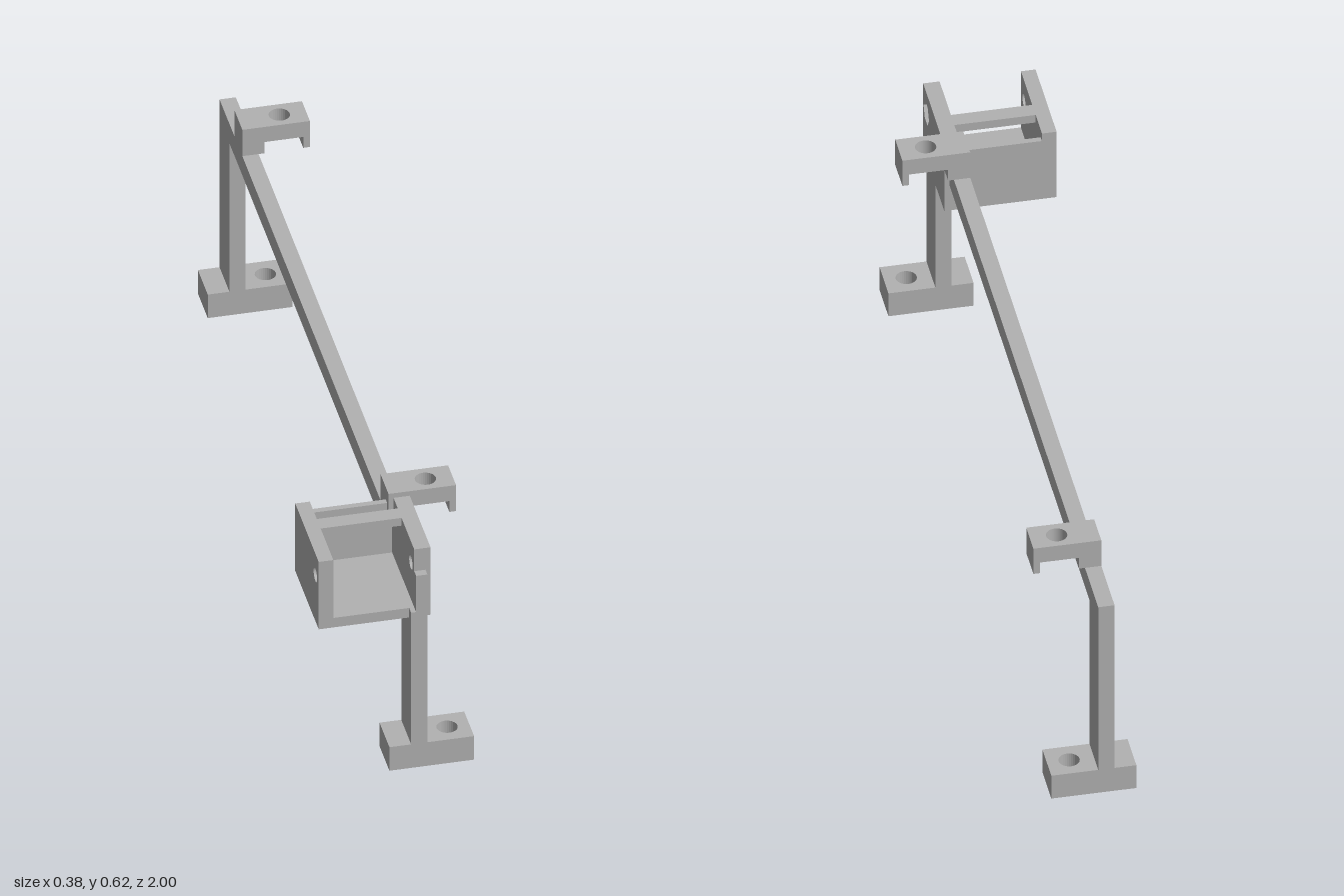
import * as THREE from 'three';

export function createModel() {
  const model = new THREE.Group();
  model.name = 'railBracket';
  const grey = new THREE.MeshStandardMaterial({ color: 0xb2b2b2 });
  grey.name = 'plain grey';

  const add = (parent, name, geometry) => {
    const mesh = new THREE.Mesh(geometry, grey);
    mesh.name = name;
    parent.add(mesh);
    return mesh;
  };

  const group = (name) => {
    const g = new THREE.Group();
    g.name = name;
    model.add(g);
    return g;
  };

  // Block given by its limits on each axis
  const block = (parent, name, [x0, x1], [y0, y1], [z0, z1]) => {
    const g = new THREE.BoxGeometry(x1 - x0, y1 - y0, z1 - z0);
    g.translate((x0 + x1) / 2, (y0 + y1) / 2, (z0 + z1) / 2);
    return add(parent, name, g);
  };

  // Rectangle with one round or many-sided hole
  const holedRect = (a0, a1, b0, b1, ca, cb, r, sides) => {
    const s = new THREE.Shape();
    s.moveTo(a0, b0).lineTo(a1, b0).lineTo(a1, b1).lineTo(a0, b1).closePath();
    const points = [];
    for (let i = 0; i < sides; i++) {
      const t = (-i / sides) * Math.PI * 2;
      points.push(new THREE.Vector2(ca + r * Math.cos(t), cb + r * Math.sin(t)));
    }
    s.holes.push(new THREE.Path(points));
    return s;
  };

  // Horizontal plate with a vertical screw hole
  const flatPlate = (parent, name, [x0, x1], [y0, y1], [z0, z1], hx) => {
    const shape = holedRect(x0, x1, -z1, -z0, hx, -(z0 + z1) / 2, 0.025, 32);
    const g = new THREE.ExtrudeGeometry(shape, { depth: y1 - y0, bevelEnabled: false });
    g.rotateX(-Math.PI / 2).translate(0, y0, 0);
    return add(parent, name, g);
  };

  // Upright side plate with a sideways hole
  const sidePlate = (parent, name, [x0, x1], r, sides) => {
    const shape = holedRect(-0.98, -0.735, 0.415, 0.607, -0.945, 0.547, r, sides);
    const g = new THREE.ExtrudeGeometry(shape, { depth: x1 - x0, bevelEnabled: false });
    g.rotateY(Math.PI / 2).translate(x0, 0, 0);
    return add(parent, name, g);
  };

  const railX = [0.027, 0.066];

  // Long rail and the two legs
  block(model, 'rail', railX, [0.49, 0.545], [-0.9, 0.736]);
  block(model, 'backLeg', railX, [0.067, 0.545], [-1, -0.897]);
  const frontLeg = group('frontLeg');
  block(frontLeg, 'frontLegPost', railX, [0.067, 0.415], [0.897, 1]);
  block(frontLeg, 'frontLegLip', railX, [0.415, 0.442], [0.98, 1]);
  block(frontLeg, 'frontLegTop', [0.039, 0.066], [0.442, 0.545], [0.98, 1]);

  // Feet with screw holes
  flatPlate(model, 'backFoot', [-0.025, 0.178], [0, 0.067], [-1, -0.897], 0.125);
  flatPlate(model, 'frontFoot', [-0.025, 0.178], [0, 0.067], [0.897, 1], 0.125);

  // Clips standing on the rail
  for (const [name, z] of [['frontClip', [0.681, 0.764]], ['backClip', [-0.845, -0.762]]]) {
    const clip = group(name);
    block(clip, name + 'Base', [0.027, 0.08], [0.545, 0.577], z);
    flatPlate(clip, name + 'Arm', [0.027, 0.189], [0.577, 0.62], z, 0.125);
    block(clip, name + 'Tip', [0.173, 0.189], [0.546, 0.577], z);
  }

  // Open holder: floor, low back wall, cross bar, bored side walls
  const holder = group('holder');
  block(holder, 'holderFloor', [-0.155, 0.039], [0.415, 0.442], [0.735, 0.98]);
  block(holder, 'holderBack', [-0.155, 0.039], [0.442, 0.585], [0.735, 0.75]);
  block(holder, 'holderBar', [-0.155, 0.039], [0.585, 0.607], [0.808, 0.848]);
  sidePlate(holder, 'holderRightWall', [-0.19, -0.155], 0.018, 32);
  sidePlate(holder, 'holderLeftWallInner', [0.039, 0.058], 0.018, 32);
  sidePlate(holder, 'holderLeftWallNutRecess', [0.058, 0.078], 0.032, 6);

  return model;
}
